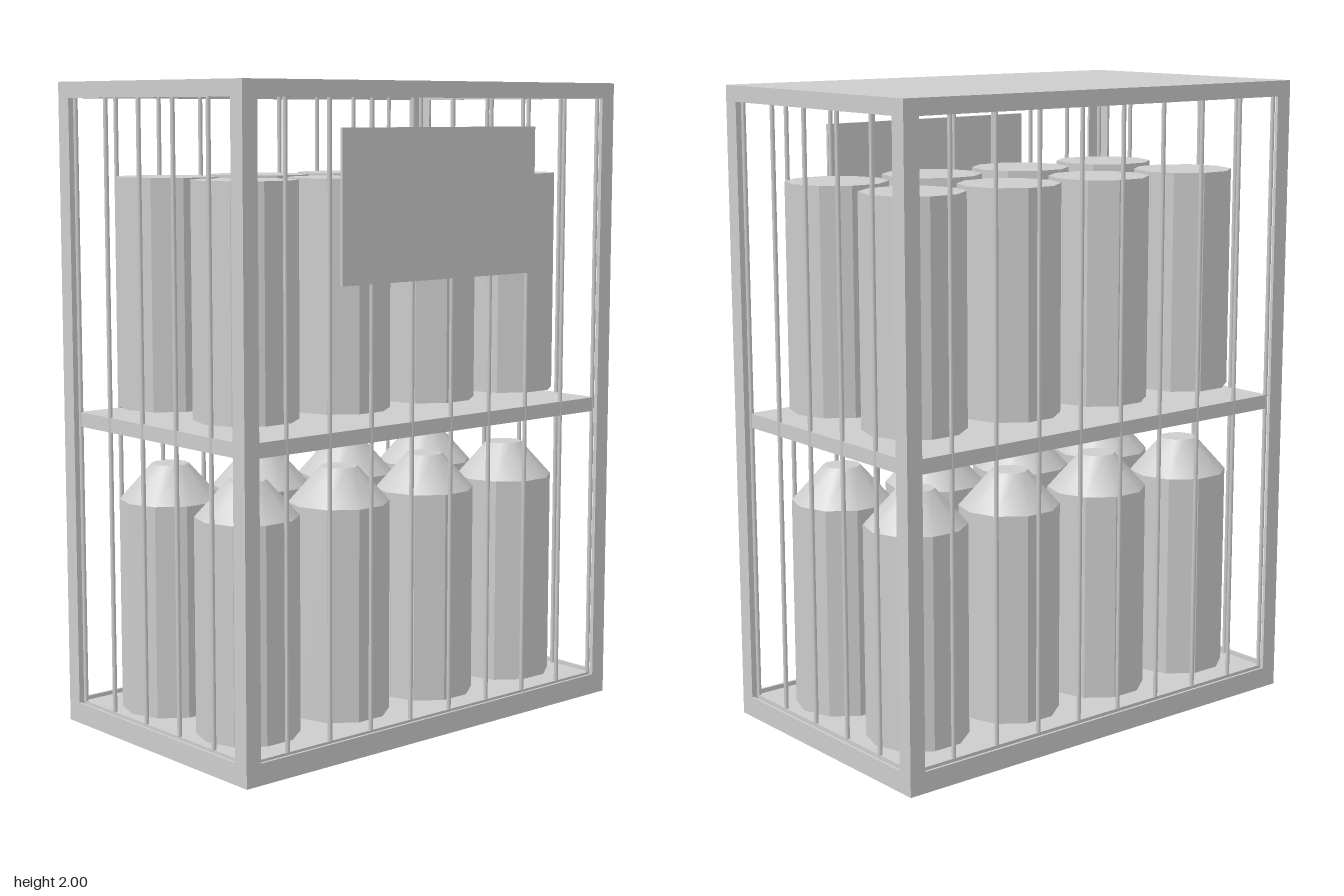
import * as THREE from 'three';

const W = 1.514, H = 2, D = 0.898; // outer size of the cage

export function createModel() {
  const model = new THREE.Group();
  const grey = new THREE.MeshStandardMaterial({ color: 0xcccccc });
  const flatGrey = grey;

  const add = (name, geometry, x, y, z, parent = model) => {
    const mesh = new THREE.Mesh(geometry, flatGrey);
    mesh.name = name;
    mesh.position.set(x, y, z);
    parent.add(mesh);
    return mesh;
  };

  // Thin frame panel with one large window
  const t = 0.008;
  const framePanel = (width) => {
    const rect = (shape, x, y0, y1) =>
      shape.moveTo(-x, y0).lineTo(x, y0).lineTo(x, y1).lineTo(-x, y1).closePath();
    const shape = rect(new THREE.Shape(), width / 2, 0, H);
    shape.holes.push(rect(new THREE.Path(), width / 2 - 0.053, 0.066, 1.951));
    return new THREE.ExtrudeGeometry(shape, { depth: t, bevelEnabled: false });
  };

  // Four sides of the cage
  const cage = new THREE.Group();
  cage.name = 'cageFrame';
  model.add(cage);
  const sides = [['front', 0, W, D], ['left', 1, D, W], ['back', 2, W, D], ['right', 3, D, W]];
  for (const [side, turn, width, depth] of sides) {
    const panel = new THREE.Group();
    panel.rotation.y = turn * Math.PI / 2;
    cage.add(panel);
    add(side + 'Frame', framePanel(width), 0, 0, depth / 2 - t, panel);
  }

  // Roof, base, floor and middle shelf
  add('roof', new THREE.BoxGeometry(W, t, D), 0, H - t / 2, 0, cage);
  add('base', new THREE.BoxGeometry(W, t, D), 0, t / 2, 0, cage);
  add('floor', new THREE.BoxGeometry(1.45, 0.05, 0.83), 0, 0.038, 0);
  add('shelf', new THREE.BoxGeometry(1.45, 0.045, 0.83), 0, 0.9645, 0);

  // Upright bars around all four sides
  const barGeometry = new THREE.CylinderGeometry(0.007, 0.007, 1.93, 6);
  const bars = new THREE.Group();
  bars.name = 'bars';
  model.add(bars);
  const bar = (x, z) => add('bar', barGeometry, x, 1.025, z, bars);
  for (const s of [-1, 1]) {
    for (let i = 0; i < 8; i++) bar(-0.574 + i * 0.1633, s * 0.41);
    for (let i = 0; i < 4; i++) bar(s * 0.722, -0.251 + i * 0.1675);
    for (const e of [-1, 1]) bar(s * 0.722, e * 0.41);
  }

  // Ten-sided gas bottles, with a vertex facing sideways
  const bottleBody = (height) =>
    new THREE.CylinderGeometry(0.157, 0.157, height, 10).rotateY(Math.PI / 2).toNonIndexed();
  const tall = bottleBody(0.7), low = bottleBody(0.66);
  tall.computeVertexNormals();
  low.computeVertexNormals();
  const shoulder = new THREE.CylinderGeometry(0.058, 0.157, 0.11, 10).rotateY(Math.PI / 2);
  for (let i = 0; i < 4; i++) {
    for (const z of [-0.19, 0.19]) {
      const x = -0.544 + i * 0.3603;
      add('upperBottle', tall, x, 1.366, z);
      add('lowerBottle', low, x, 0.396, z);
      add('bottleShoulder', shoulder, x, 0.781, z);
    }
  }

  // Blank sign board on the front
  add('signBoard', new THREE.BoxGeometry(0.791, 0.451, 0.009), -0.002, 1.64, 0.4465);

  return model;
}
